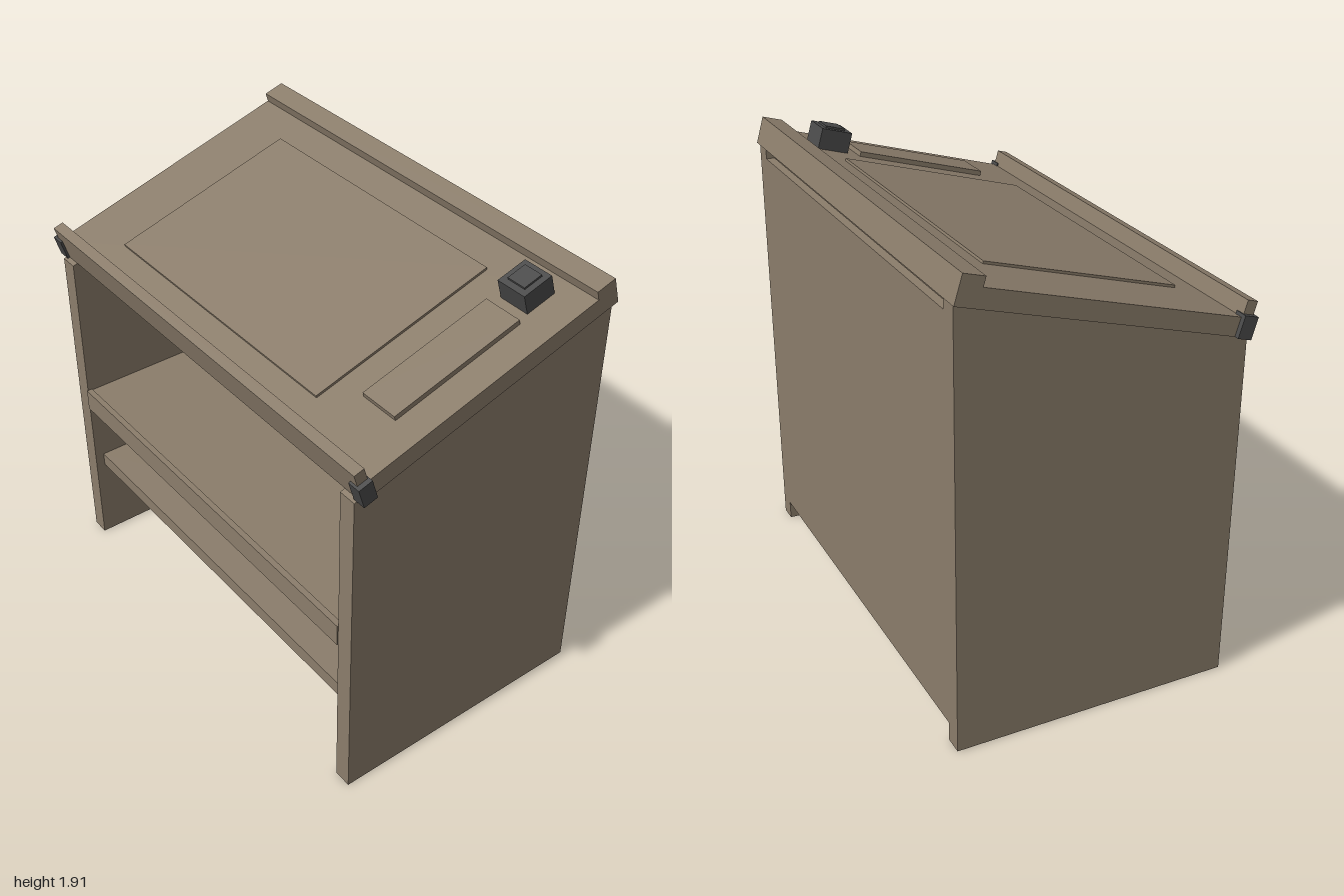
import * as THREE from 'three';

export function createModel() {
  const model = new THREE.Group();
  model.name = 'slopedDesk';
  const wood = new THREE.MeshStandardMaterial({ color: 0x8b7d6b });
  wood.name = 'taupe wood';
  const dark = new THREE.MeshStandardMaterial({ color: 0x4a4a4a });
  dark.name = 'dark grey';

  // Box given by its low and high limits on each axis
  function box(parent, name, material, [x0, x1], [y0, y1], [z0, z1]) {
    const mesh = new THREE.Mesh(new THREE.BoxGeometry(x1 - x0, y1 - y0, z1 - z0), material);
    mesh.position.set((x0 + x1) / 2, (y0 + y1) / 2, (z0 + z1) / 2);
    mesh.name = name;
    parent.add(mesh);
    return mesh;
  }

  const slope = Math.atan(0.294);
  const frontY = 1.46, frontZ = 0.55;
  const underside = (z) => frontY + (frontZ - z) * Math.tan(slope);

  // Side panels with sloping tops
  const profile = new THREE.Shape([
    new THREE.Vector2(0.57, 0),
    new THREE.Vector2(0.57, underside(0.57)),
    new THREE.Vector2(-0.585, underside(-0.585)),
    new THREE.Vector2(-0.585, 0),
  ]);
  const panel = new THREE.ExtrudeGeometry(profile, { depth: 0.075, bevelEnabled: false });
  panel.rotateY(-Math.PI / 2);
  for (const [name, x] of [['leftSidePanel', 0.96], ['rightSidePanel', -0.885]]) {
    const mesh = new THREE.Mesh(panel, wood);
    mesh.position.x = x;
    mesh.name = name;
    model.add(mesh);
  }

  // Back panel, shelves and front rail
  const inner = [-0.885, 0.885];
  box(model, 'backPanel', wood, inner, [0.08, 1.75], [-0.585, -0.55]);
  box(model, 'lowerShelf', wood, inner, [0.385, 0.445], [-0.55, 0.53]);
  box(model, 'upperShelf', wood, inner, [0.755, 0.815], [-0.55, 0.55]);
  box(model, 'frontRail', wood, inner, [0.725, 0.82], [0.55, 0.575]);

  // Tilted top: origin on its lower front edge, z running back is negative
  const top = new THREE.Group();
  top.name = 'tiltedTop';
  top.position.set(0, frontY, frontZ);
  top.rotation.x = slope;
  model.add(top);

  const full = [-0.98, 0.98];
  box(top, 'deskBoard', wood, full, [0, 0.075], [-1.19, 0]);
  box(top, 'frontLip', wood, full, [0.075, 0.14], [-0.044, 0]);
  box(top, 'rearLedge', wood, full, [0.075, 0.113], [-1.19, -1.103]);
  box(top, 'largePad', wood, [-0.71, 0.555], [0.075, 0.085], [-0.969, -0.16]);
  box(top, 'smallPad', wood, [0.68, 0.85], [0.075, 0.095], [-0.852, -0.273]);

  // Small box with a raised cap
  box(top, 'inkBox', dark, [0.7, 0.835], [0.075, 0.16], [-1.033, -0.9]);
  box(top, 'inkBoxCap', dark, [0.725, 0.81], [0.16, 0.168], [-1.01, -0.926]);

  // Corner brackets
  box(top, 'leftCornerBracket', dark, [0.945, 1], [0, 0.088], [-0.05, 0.01]);
  box(top, 'rightCornerBracket', dark, [-1, -0.945], [0, 0.088], [-0.05, 0.01]);

  return model;
}
